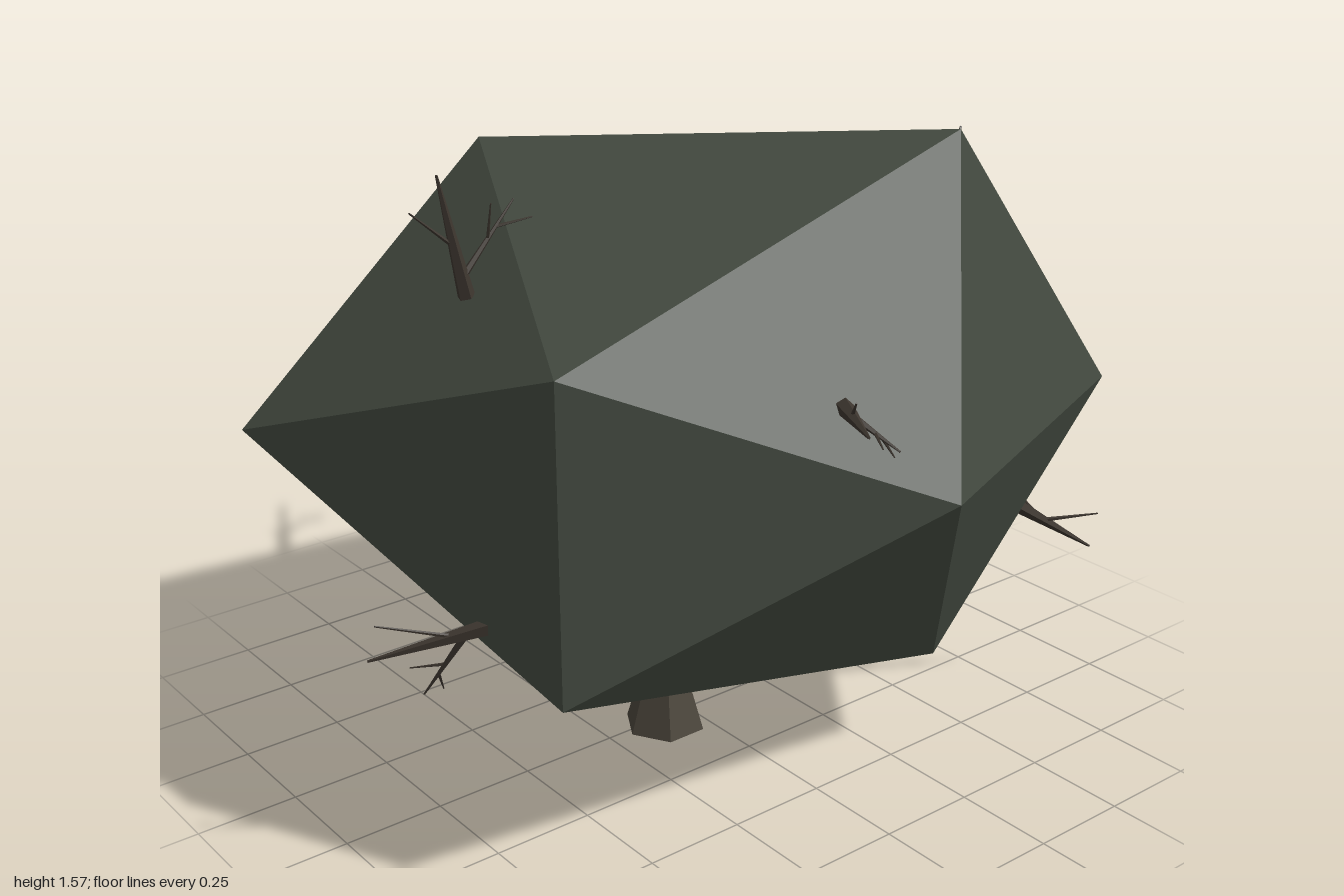
import * as THREE from 'three';

const leafMat = new THREE.MeshStandardMaterial({ color: 0x434a40, flatShading: true });
const barkMat = new THREE.MeshStandardMaterial({ color: 0x4a443a, flatShading: true });
const twigMat = new THREE.MeshStandardMaterial({ color: 0x3d362f, flatShading: true });
const V = (p) => new THREE.Vector3(...p);

// Foliage: twenty-sided hull from two staggered five-point rings and two poles
function crown() {
  const F = [0.04, 0.865, 0.88], B = [0.04, 0.865, -0.86];
  const f = [[0.9, 0.865], [0.34, 1.57], [-0.76, 1.23], [-0.76, 0.5], [0.34, 0.27]].map(p => [...p, 0.54]);
  const b = [[0.825, 1.23], [-0.27, 1.46], [-0.95, 0.865], [-0.27, 0.27], [0.825, 0.5]].map(p => [...p, -0.47]);
  const pos = [];
  for (let i = 0; i < 5; i++) {
    const j = (i + 1) % 5;
    pos.push(F, f[i], f[j], f[i], b[i], f[j], b[i], b[j], f[j], B, b[j], b[i]);
  }
  const geo = new THREE.BufferGeometry();
  geo.setAttribute('position', new THREE.Float32BufferAttribute(pos.flat(), 3));
  geo.computeVertexNormals();
  const mesh = new THREE.Mesh(geo, leafMat);
  mesh.name = 'foliage';
  return mesh;
}

// Trunk: six sides, flared at the foot
function trunk() {
  const profile = [[0, 0], [0.105, 0], [0.063, 0.14], [0.057, 0.4], [0, 0.4]].map(p => new THREE.Vector2(...p));
  const mesh = new THREE.Mesh(new THREE.LatheGeometry(profile, 6, Math.PI / 6), barkMat);
  mesh.position.set(-0.09, 0, 0.022);
  mesh.name = 'trunk';
  return mesh;
}

// Tapered stick between two points
function stick(a, b, r0, r1, name) {
  const dir = b.clone().sub(a);
  const mesh = new THREE.Mesh(new THREE.CylinderGeometry(r1, r0, dir.length(), 5), twigMat);
  mesh.position.copy(a).addScaledVector(dir, 0.5);
  mesh.quaternion.setFromUnitVectors(new THREE.Vector3(0, 1, 0), dir.normalize());
  mesh.name = name;
  return mesh;
}

// Branch: main stick, side twigs [position along the branch, tip], each with small sprigs
function branch({ name, base, tip, twigs }) {
  const group = new THREE.Group();
  group.name = name;
  const a = V(base), b = V(tip);
  const root = a.clone().lerp(b, -0.12);
  group.add(stick(root, b, 0.02, 0.003, 'branchStem'));
  for (const [t, end, r = 0.009] of twigs) {
    const s = a.clone().lerp(b, t), e = V(end), d = e.clone().sub(s);
    group.add(stick(s, e, r, 0.002, 'twig'));
    if (r < 0.008) continue;
    const side = d.clone().cross(b.clone().sub(a)).normalize();
    const out = side.clone().cross(d).normalize();
    for (const [k, u, v] of [[0.5, 0.28, 0.1], [0.65, -0.22, 0.15]]) {
      const p = s.clone().addScaledVector(d, k);
      const q = p.clone().addScaledVector(d, 0.3).addScaledVector(out, u * d.length())
        .addScaledVector(side, v * d.length());
      group.add(stick(p, q, 0.004, 0.0015, 'sprig'));
    }
  }
  return group;
}

const branches = [
  { name: 'upperRightBranch', base: [-0.64, 1.28, 0.03], tip: [-0.7, 1.53, 0.04],
    twigs: [[0.05, [-0.51, 1.45, 0.04]], [0.35, [-0.77, 1.46, 0.04], 0.005]] },
  { name: 'upperLeftBranch', base: [0.78, 1.18, 0.03], tip: [0.96, 1.39, -0.04],
    twigs: [[0.3, [0.99, 1.26, 0.03]], [0.4, [0.87, 1.36, 0.0], 0.005]] },
  { name: 'backBranch', base: [0.04, 1.11, -0.69], tip: [0.28, 1.3, -0.88],
    twigs: [[0.35, [0.3, 1.19, -0.8]], [0.3, [0.13, 1.27, -0.72], 0.007]] },
  { name: 'frontBranch', base: [-0.17, 1.09, 0.74], tip: [-0.26, 1.1, 0.9],
    twigs: [[0.15, [-0.14, 1.03, 0.87]], [0.25, [-0.22, 1.14, 0.82], 0.005]] },
  { name: 'lowerRightBranch', base: [-0.81, 0.61, 0.3], tip: [-1, 0.54, 0.16],
    twigs: [[0.1, [-0.89, 0.44, 0.2]], [0.2, [-1, 0.64, 0.2], 0.005]] },
  { name: 'lowerLeftBranch', base: [0.65, 0.57, 0.51], tip: [0.88, 0.41, 0.56],
    twigs: [[0.25, [0.82, 0.5, 0.38]], [0.35, [0.84, 0.53, 0.61], 0.006]] },
];

export function createModel() {
  const model = new THREE.Group();
  model.name = 'tree';
  model.add(crown(), trunk(), ...branches.map(branch));
  return model;
}
